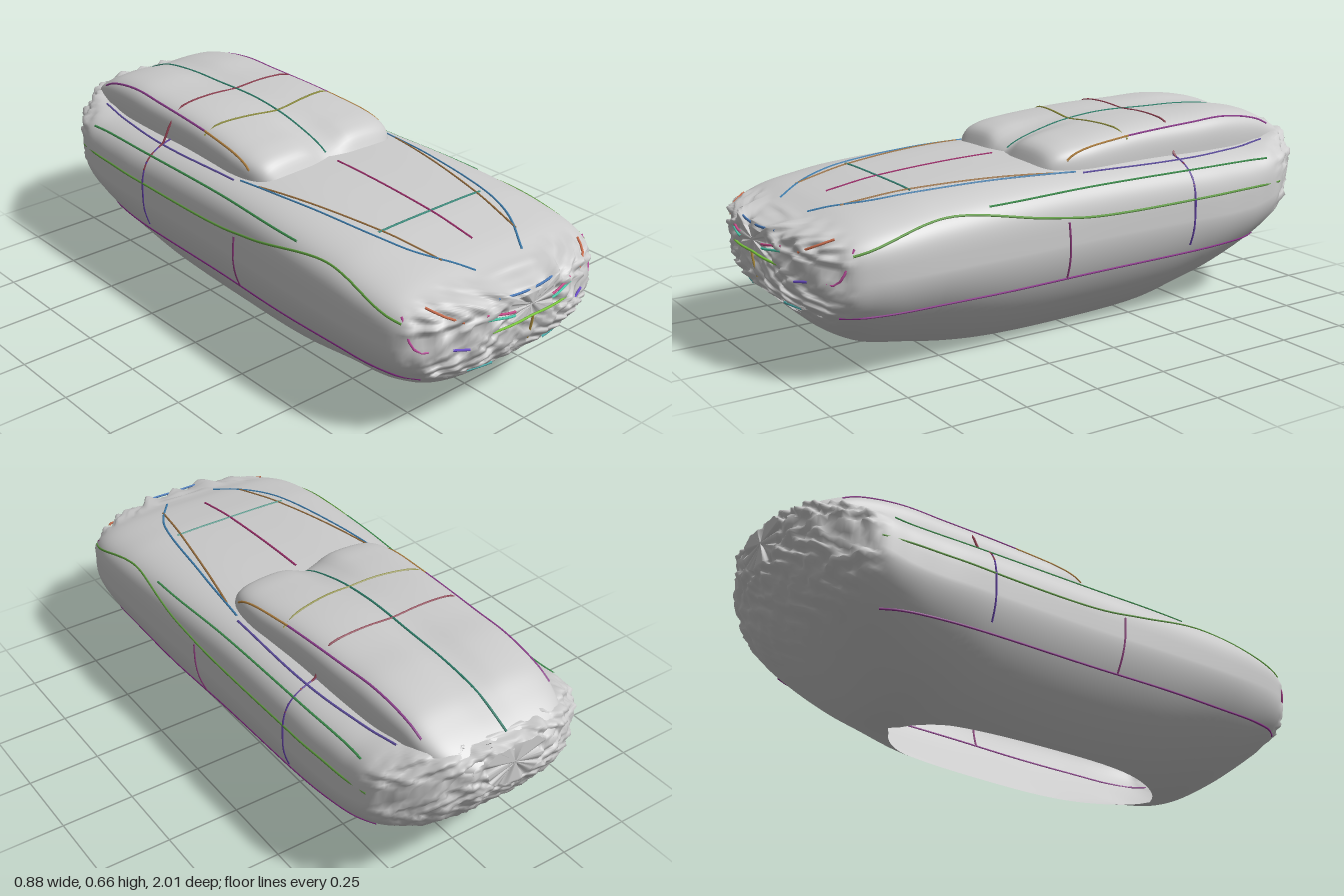
import * as THREE from 'three';

// Stations: z, half width, top, virtual bottom, widest height, lower-curve power
const BODY = [
  [-1, .1, .55, .42, .49, 2.5], [-.97, .2, .565, .37, .48, 2.5], [-.9, .31, .57, .27, .43, 2.5],
  [-.8, .385, .56, .17, .38, 2], [-.7, .4, .55, .09, .35, 1.8], [-.6, .405, .55, .03, .34, 1.7],
  [-.5, .41, .55, 0, .34, 1.7], [-.35, .41, .555, -.04, .34, 1.7], [0, .415, .56, -.06, .34, 1.7],
  [.3, .43, .557, -.05, .34, 1.7], [.58, .438, .54, 0, .34, 1.7], [.7, .436, .523, .03, .34, 1.8],
  [.8, .425, .505, .085, .34, 2], [.87, .4, .485, .145, .34, 2.4], [.92, .345, .475, .2, .35, 3],
  [.96, .26, .465, .23, .36, 3], [.99, .16, .45, .29, .38, 3], [1, .1, .435, .36, .4, 3]];

// Stations: z, half width, top, centre valley depth
const CABIN = [
  [-.99, .15, .53, 0], [-.94, .22, .57, 0], [-.88, .25, .605, .005], [-.8, .265, .64, .012],
  [-.65, .28, .662, .016], [-.5, .285, .66, .01], [-.3, .29, .658, .004], [-.15, .298, .648, .008],
  [-.05, .303, .638, .02], [.04, .295, .625, .035], [.09, .275, .602, .04], [.12, .24, .55, .02]];

const { lerp, smoothstep } = THREE.MathUtils;

// Smooth interpolation through a station table
function at(table, z) {
  let k = 0;
  while (k < table.length - 2 && z > table[k + 1][0]) k++;
  const a = table[k], b = table[k + 1];
  const p = table[Math.max(k - 1, 0)], q = table[Math.min(k + 2, table.length - 1)];
  const h = b[0] - a[0], t = Math.min(1, Math.max(0, (z - a[0]) / h));
  return a.map((v, c) => {
    const m0 = (b[c] - p[c]) / (b[0] - p[0]) * h, m1 = (q[c] - a[c]) / (q[0] - a[0]) * h;
    return v * (1 + 2 * t) * (1 - t) ** 2 + m0 * t * (1 - t) ** 2
      + b[c] * t * t * (3 - 2 * t) + m1 * t * t * (t - 1);
  });
}

// Half width of the body at height y; negative outside
function bodyX(y, z) {
  const [, w, top, bot, mid, p] = at(BODY, z);
  const n = y > mid ? 4 : p;
  const t = y > mid ? (y - mid) / (top - mid) : (mid - y) / (mid - bot);
  return t > 1 ? -1 : w * (1 - t ** n) ** (1 / n);
}
function bodyTop(x, z) {
  const [, w, top, , mid] = at(BODY, z);
  return mid + (top - mid) * Math.max(0, 1 - Math.abs(x / w) ** 4) ** .25;
}
function cabinTop(x, z) {
  if (z < -.99 || z > .12) return 0;
  const [, w, top, valley] = at(CABIN, z);
  const s = Math.abs(x / w);
  return s >= 1 ? 0 : .5 + (top - .5) * (1 - s ** 5) ** .2 - valley * Math.exp(-((x / .06) ** 2));
}
const roofY = (x, z) => Math.max(bodyTop(x, z), cabinTop(x, z));
function noseZ(x, y) {
  let z = 1;
  while (z > .3 && bodyX(y, z) < Math.abs(x)) z -= .004;
  return z;
}

// Skin over rows of points running from the left side, over the top, to the right
function skin(rows) {
  const n = rows[0].length, index = [];
  for (let i = 0; i < rows.length - 1; i++)
    for (let j = 0; j < n - 1; j++) {
      const a = i * n + j, b = a + n;
      index.push(a, a + 1, b, a + 1, b + 1, b);
    }
  const g = new THREE.BufferGeometry();
  g.setAttribute('position', new THREE.Float32BufferAttribute(rows.flat(2), 3));
  g.setIndex(index);
  g.computeVertexNormals();
  return g;
}

// Crumpled relief on the two ends
function rough(x, y, z) {
  const k = .013 * Math.max(smoothstep(z, .84, .92), smoothstep(-z, .76, .86));
  return k * (Math.sin(x * 61 + 2 * Math.sin(y * 47)) * Math.sin(y * 83 + z * 40)
    + .5 * Math.sin(x * 127 + z * 90) * Math.sin(y * 141));
}

function bodyRow(z, shrink = 1) {
  const [, w, top, bot, mid, p] = at(BODY, z);
  const low = Math.max(bot, 0), half = [];
  const tMax = (mid - low) / (mid - bot), aMax = Math.asin(Math.min(1, tMax ** (p / 2)));
  for (let j = 0; j <= 24; j++) {
    const a = aMax * (1 - j / 24);
    half.push([w * Math.cos(a) ** (2 / p), mid - (mid - bot) * Math.sin(a) ** (2 / p)]);
  }
  for (let j = 1; j <= 30; j++) {
    const a = j / 30 * Math.PI / 2;
    half.push([w * Math.max(0, Math.cos(a)) ** .5, mid + (top - mid) * Math.sin(a) ** .5]);
  }
  const ring = [...half, ...half.slice(0, -1).reverse().map(([x, y]) => [-x, y])];
  return ring.map(([x, y]) => {
    const r = rough(Math.abs(x), y, z);
    const end = Math.sign(z) * r;
    return [x * shrink * (1 + r * 1.5), Math.max(0, lerp(mid, y, shrink) + r * .5),
      Math.max(-1, Math.min(1, z + end))];
  });
}

function cabinRow(z) {
  const w = at(CABIN, z)[1], row = [];
  for (let j = 0; j <= 60; j++) {
    const c = Math.cos(j / 60 * Math.PI);
    const x = w * Math.sign(c) * Math.abs(c) ** .6;
    row.push([x, Math.max(.5, cabinTop(x, z)), z]);
  }
  return row;
}

export function createModel() {
  const model = new THREE.Group();
  const grey = new THREE.MeshStandardMaterial({ color: 0xcccccc, side: THREE.DoubleSide });
  const add = (name, geometry, material = grey) => {
    const mesh = new THREE.Mesh(geometry, material);
    mesh.name = name;
    model.add(mesh);
  };

  // Bowl-bottomed body, open where it is cut at the ground
  const rows = [bodyRow(-1, 0)];
  for (let i = 0; i <= 140; i++) rows.push(bodyRow(Math.sin((i / 70 - 1) * Math.PI / 2)));
  rows.push(bodyRow(1, 0));
  add('body', skin(rows));

  // Cabin with two soft lobes
  const cabin = [];
  for (let i = 0; i <= 70; i++) cabin.push(cabinRow(-.435 - .555 * Math.cos(i / 70 * Math.PI)));
  cabin.push(cabin[70].map(([x, , z]) => [x, .5, z]));
  add('cabin', skin(cabin));

  // Coloured feature lines laid on the surface
  const onTop = ([x, z]) => [x, roofY(x, z), z];
  const onSide = ([z, y]) => [Math.max(bodyX(y, z), 0), y, z];
  const onNose = ([x, y]) => [x, y, noseZ(x, y) + .004];
  const line = (name, color, place, pts, mirror = true) => {
    const path = new THREE.CatmullRomCurve3(pts.map(([u, v]) => new THREE.Vector3(u, v, 0)));
    const count = Math.max(2, Math.ceil(path.getLength() / .05));
    const placed = path.getPoints(count).map(p => place([p.x, p.y]));
    for (const s of mirror ? [1, -1] : [1]) {
      const curve = new THREE.CatmullRomCurve3(placed.map(([x, y, z]) => new THREE.Vector3(s * x, y, z)));
      add(name, new THREE.TubeGeometry(curve, count * 2, .004, 5),
        new THREE.MeshStandardMaterial({ color }));
    }
  };
  line('hoodCentreLine', 0x9c2f6b, onTop, [[0, .14], [0, .75]], false);
  line('roofCentreLine', 0x2f7f6b, onTop, [[0, .08], [0, -.95]], false);
  line('roofCrossLine', 0x8f3f50, onTop, [[-.4, -.4], [.4, -.4]], false);
  line('windshieldTopLine', 0x8f8f3f, onTop, [[-.28, -.21], [0, -.17], [.28, -.21]], false);
  line('hoodCrossLine', 0x3f8f80, onTop, [[-.22, .57], [.22, .57]], false);
  line('hoodEdgeLine', 0x3f7fb0, onTop, [[.31, .02], [.28, .3], [.21, .68], [.1, .86]]);
  line('hoodInnerLine', 0x9a7040, onTop, [[.3, .1], [.23, .45], [.16, .78]]);
  line('roofRailLine', 0x8f3f8f, onTop, [[.27, -.22], [.25, -.6], [.24, -.86]]);
  line('shoulderLine', 0x5f4fa0, onTop, [[.32, 0], [.32, -.4], [.28, -.8]]);
  line('windshieldPillarLine', 0xb08040, onTop, [[.29, .04], [.27, -.22]]);
  line('sillLine', 0x8f2f8f, onSide, [[.88, .22], [0, .22], [-.75, .22]]);
  line('beltLine', 0x5f9f3f, onSide, [[.86, .42], [.55, .49], [.2, .44], [0, .415], [-.8, .415]]);
  line('upperBeltLine', 0x3f8f4f, onSide, [[.4, .5], [0, .505], [-.75, .5]]);
  line('doorFrontLine', 0x8f3f7f, onSide, [[.12, .415], [.105, .22]]);
  line('doorRearLine', 0x5f3f9f, onSide, [[-.4, .54], [-.4, .25]]);
  line('lowerBumperLine', 0x4fb0b0, onNose, [[.11, .222], [.2, .222]]);
  line('grilleTopLine', 0xd0508f, onNose, [[.08, .405], [.18, .42]]);
  line('grilleMiddleLine', 0x4fd0b0, onNose, [[.08, .392], [.18, .405]]);
  line('grilleLowerLine', 0x80d040, onNose, [[0, .365], [.16, .36]]);
  line('noseCentreLine', 0xb09040, onNose, [[0, .365], [0, .28]], false);
  line('noseUpperLine', 0x4f80c0, onNose, [[-.13, .455], [0, .448], [.13, .455]], false);
  line('headlampLine', 0xd0704f, onNose, [[.25, .415], [.3, .44], [.33, .46]]);
  line('foglampLine', 0x6f50d0, onNose, [[.23, .322], [.28, .33]]);
  line('noseCornerLine', 0xc050a0, onNose, [[.39, .44], [.38, .34], [.34, .335]]);
  return model;
}
